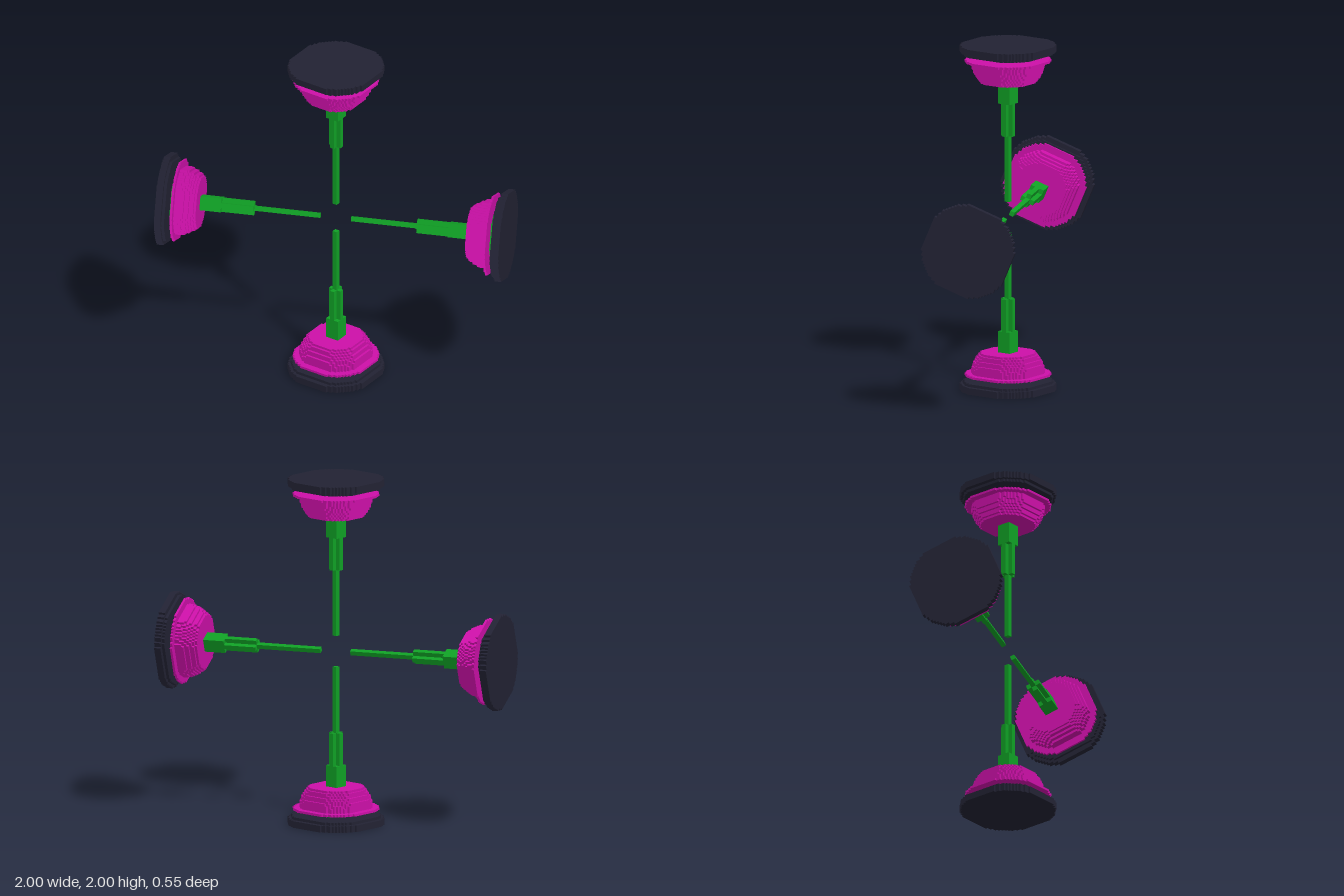
import * as THREE from 'three';

const CELL = 0.0133;
const TWIST = -Math.PI / 8;
const GREEN = new THREE.MeshStandardMaterial({ color: 0x10a025 });
const PINK = new THREE.MeshStandardMaterial({ color: 0xcc10a8 });
const DARK = new THREE.MeshStandardMaterial({ color: 0x222233 });

// Repeats one quadrant of outline points four times around the axis
function fourfold(quadrant) {
  const points = [];
  for (let q = 0; q < 4; q++) {
    for (const [px, py] of quadrant) {
      let x = px, y = py;
      for (let i = 0; i < q; i++) [x, y] = [-y, x];
      points.push(new THREE.Vector2(x, y));
    }
  }
  return new THREE.Shape(points);
}

// Stepped disc outline made of square cells, with four flat sides
function steppedDisc(radius) {
  const n = Math.round((radius * 0.93) / CELL);
  const quadrant = [];
  let last = n;
  for (let j = 0; j < n; j++) {
    const y = (j + 0.5) * CELL;
    const w = Math.min(n, Math.round(Math.sqrt(Math.max(0, radius * radius - y * y)) / CELL));
    if (w !== last) quadrant.push([last * CELL, j * CELL], [w * CELL, j * CELL]);
    last = w;
  }
  quadrant.push([last * CELL, n * CELL]);
  return fourfold(quadrant);
}

const squareOutline = (h) => fourfold([[h, h]]);
const crossOutline = (h, w) => fourfold([[h, -w], [h, w], [w, w]]);

// Extrudes an outline along +y between two distances from the centre
function layer(name, outline, from, to, material) {
  const geometry = new THREE.ExtrudeGeometry(outline, { depth: to - from, bevelEnabled: false });
  geometry.rotateZ(TWIST).rotateX(-Math.PI / 2).translate(0, from, 0);
  const mesh = new THREE.Mesh(geometry, material);
  mesh.name = name;
  return mesh;
}

function createArm(name, hasPlate) {
  const arm = new THREE.Group();
  arm.name = name;

  // Telescoping rod
  arm.add(layer('innerRod', squareOutline(0.0133), 0.09, 0.5, GREEN));
  arm.add(layer('middleRod', crossOutline(0.04, 0.0133), 0.472, 0.68, GREEN));
  arm.add(layer('outerRod', squareOutline(0.04), 0.66, 0.82, GREEN));

  // Bowl of stepped layers, widening outwards
  const bowl = new THREE.Group();
  bowl.name = 'bowl';
  const radii = [0.155, 0.168, 0.178, 0.185, 0.191, 0.197, 0.2, 0.203, 0.205];
  radii.forEach((r, i) => {
    const from = 0.783 + i * CELL;
    bowl.add(layer('bowlLayer', steppedDisc(r), from, from + CELL, PINK));
  });
  bowl.add(layer('bowlRim', steppedDisc(0.24), 0.9027, 0.916, PINK));
  arm.add(bowl);

  // Thin plate between bowl and end disc
  if (hasPlate) arm.add(layer('plate', steppedDisc(0.15), 0.922, 0.936, GREEN));

  // End disc
  arm.add(layer('endDiscStep', steppedDisc(0.25), 0.946, 0.962, DARK));
  arm.add(layer('endDisc', steppedDisc(0.27), 0.962, 1, DARK));
  return arm;
}

export function createModel() {
  const model = new THREE.Group();
  model.name = 'fourArmedModel';

  const top = createArm('topArm', false);
  const bottom = createArm('bottomArm', true);
  bottom.scale.y = -1;

  // Side arms are a quarter turn of the upright arm and its mirror image
  const left = createArm('leftArm', true);
  left.rotation.z = -Math.PI / 2;
  const right = new THREE.Group();
  right.name = 'rightSide';
  const rightArm = createArm('rightArm', true);
  rightArm.rotation.z = -Math.PI / 2;
  right.add(rightArm);
  right.scale.x = -1;

  for (const arm of [top, bottom, left, right]) {
    arm.position.y = 1;
    model.add(arm);
  }
  return model;
}
